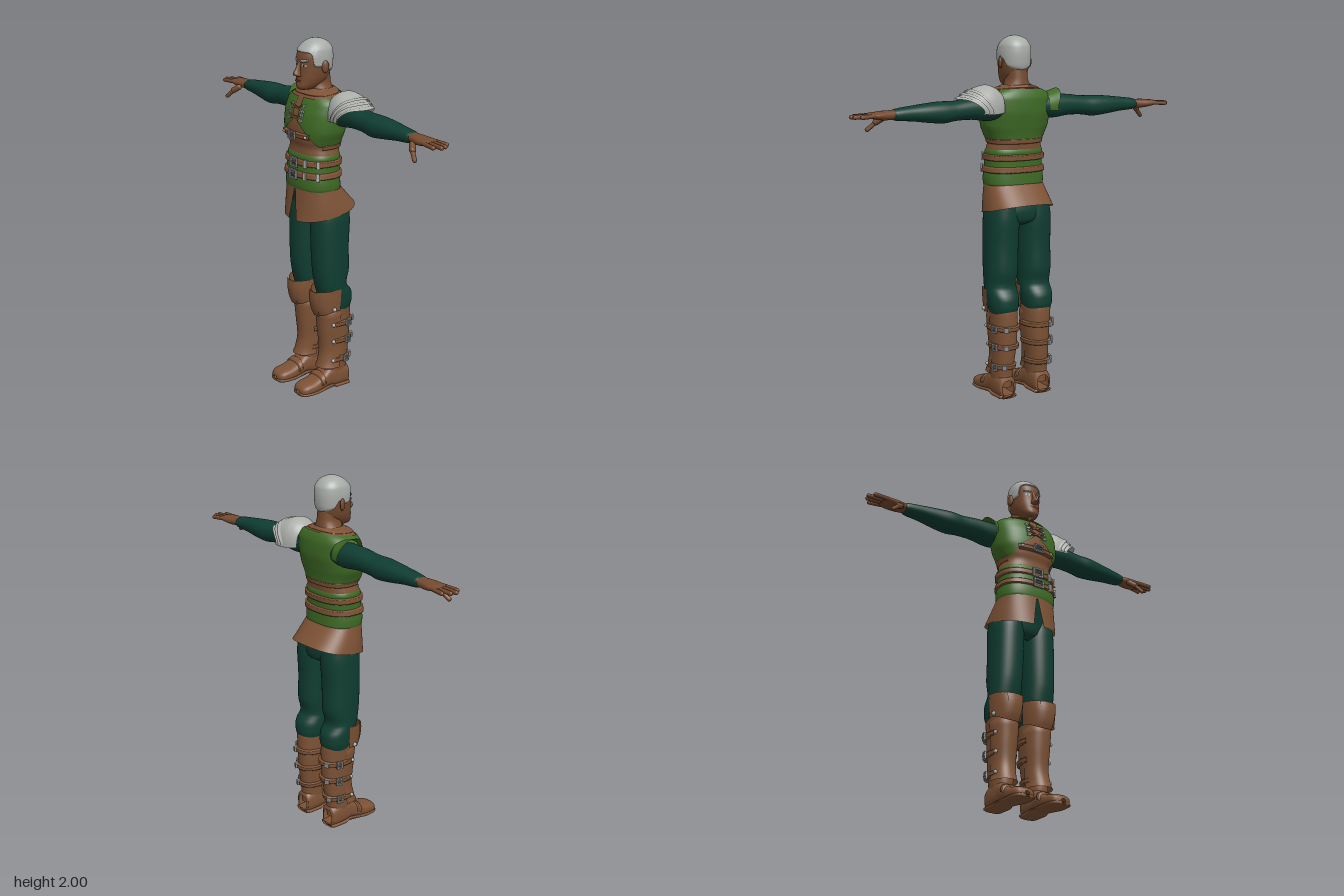
import * as THREE from 'three';
import { mergeGeometries } from 'three/addons/utils/BufferGeometryUtils.js';

const PI = Math.PI;
const mat = (name, color) => new THREE.MeshStandardMaterial({ name, color, side: THREE.DoubleSide });

// Smooth monotone interpolation of column c of a row table at height y
function value(rows, y, c) {
  const n = rows.length, g = (k) => rows[k][c] ?? 0;
  y = Math.min(Math.max(y, rows[0][0]), rows[n - 1][0]);
  let i = 0;
  while (i < n - 2 && y > rows[i + 1][0]) i++;
  const d = (k) => (g(k + 1) - g(k)) / (rows[k + 1][0] - rows[k][0]);
  const m = (k) => {
    if (k === 0) return d(0);
    if (k === n - 1) return d(n - 2);
    const a = d(k - 1), b = d(k);
    return a * b > 0 ? 2 * a * b / (a + b) : 0;
  };
  const h = rows[i + 1][0] - rows[i][0], t = (y - rows[i][0]) / h, t2 = t * t, t3 = t2 * t;
  return (2 * t3 - 3 * t2 + 1) * g(i) + (t3 - 2 * t2 + t) * h * m(i) + (3 * t2 - 2 * t3) * g(i + 1) + (t3 - t2) * h * m(i + 1);
}

// Point on a body whose rows are [y, halfWidth, zFront, zBack, centreX]; angle 0 is the front
function pointOn(rows, a, y, off = 0, p = 0.9) {
  const rx = value(rows, y, 1) + off, zf = value(rows, y, 2) + off, zb = value(rows, y, 3) - off;
  const s = Math.sin(a), c = Math.cos(a), pw = (v) => Math.sign(v) * Math.abs(v) ** p;
  return new THREE.Vector3(value(rows, y, 4) + rx * pw(s), y, (zf + zb) / 2 + (zf - zb) / 2 * pw(c));
}

// Surface over a body: whole by default, or limited by angles and lower / upper edges
function shell(rows, o = {}) {
  const fn = (f) => (typeof f === 'function' ? f : () => f);
  const whole = o.lo === undefined, wrap = o.u0 === undefined, nu = o.nu ?? 40;
  const ys = [];
  if (whole) rows.forEach((r, i) => { for (let k = 0; k < (i < rows.length - 1 ? 3 : 1); k++) ys.push(r[0] + (k ? (rows[i + 1][0] - r[0]) * k / 3 : 0)); });
  const nv = whole ? ys.length - 1 : o.nv ?? 10, cols = wrap ? nu : nu + 1;
  const off = fn(o.off ?? 0), lo = fn(o.lo), hi = fn(o.hi), u0 = fn(o.u0 ?? 0), u1 = fn(o.u1 ?? 2 * PI);
  const pos = [], idx = [];
  for (let j = 0; j <= nv; j++) for (let i = 0; i < cols; i++) {
    const v = j / nv, a = u0(v) + (u1(v) - u0(v)) * i / nu;
    const y = whole ? ys[j] : lo(a) + (hi(a) - lo(a)) * v;
    pos.push(...pointOn(rows, a, y, off(v), o.p).toArray());
    if (j < nv && i < nu) {
      const q = j * cols + i, r = j * cols + (i + 1) % cols;
      idx.push(q, r, q + cols, r, r + cols, q + cols);
    }
  }
  const geo = new THREE.BufferGeometry();
  geo.setAttribute('position', new THREE.Float32BufferAttribute(pos, 3));
  geo.setIndex(idx);
  geo.computeVertexNormals();
  return geo;
}
const alongX = (g) => g.rotateZ(-PI / 2), alongZ = (g) => g.rotateX(PI / 2);
const strapOff = (h) => (v) => (v < 0.01 || v > 0.99 ? 0 : h);
const strap = (rows, y, w, h, o = {}) => shell(rows, { lo: y - w / 2, hi: y + w / 2, off: strapOff(h), nv: 8, ...o });

// Seat a small part on a body, facing outwards
function place(geo, rows, a, y, off, p) {
  const q = pointOn(rows, a, y, off, p), t = pointOn(rows, a + 0.02, y, off, p).sub(pointOn(rows, a - 0.02, y, off, p));
  return geo.rotateY(Math.atan2(-t.z, t.x)).translate(q.x, q.y, q.z);
}
function buckle(w, h, b = 0.008) {
  const box = (o, x, y) => o.moveTo(-x, -y).lineTo(x, -y).lineTo(x, y).lineTo(-x, y).closePath();
  const s = box(new THREE.Shape(), w / 2, h / 2);
  s.holes.push(box(new THREE.Path(), w / 2 - b, h / 2 - b));
  return mergeGeometries([new THREE.ExtrudeGeometry(s, { depth: 0.012, bevelEnabled: false }),
    new THREE.BoxGeometry(w, 0.006, 0.008).toNonIndexed().translate(0, 0, 0.01)]);
}
function rod(a, b, r) {
  const A = new THREE.Vector3(...a), d = new THREE.Vector3(...b).sub(A);
  const q = new THREE.Quaternion().setFromUnitVectors(new THREE.Vector3(0, 1, 0), d.clone().normalize());
  const m = A.clone().addScaledVector(d, 0.5);
  return new THREE.CapsuleGeometry(r, d.length() - 2 * r, 4, 10).applyQuaternion(q).translate(m.x, m.y, m.z);
}
function mirrored(geo) {
  const g = geo.clone().scale(-1, 1, 1);
  const ix = g.index ? [...g.index.array] : [...Array(g.attributes.position.count).keys()];
  for (let i = 0; i < ix.length; i += 3) [ix[i], ix[i + 1]] = [ix[i + 1], ix[i]];
  g.setIndex(ix);
  const n = g.attributes.normal, o = geo.attributes.normal;
  for (let i = 0; i < n.count; i++) n.setXYZ(i, -o.getX(i), o.getY(i), o.getZ(i));
  return g;
}

export function createModel() {
  const model = new THREE.Group();
  const leather = mat('leather', 0x7d5235), skin = mat('skin', 0x754a2f), green = mat('green tunic', 0x3e6a25);
  const cloth = mat('dark cloth', 0x0f3d31), hair = mat('grey hair', 0xa8aca7), steel = mat('steel', 0xacaeaa);
  const iron = mat('buckle metal', 0x858988), lip = mat('lips', 0x5c3523), dark = mat('pupil', 0x17120f);
  const add = (name, geo, m) => { const o = new THREE.Mesh(geo, m); o.name = name; model.add(o); };
  const pair = (name, geo, m) => { add(name + 'Left', geo, m); add(name + 'Right', mirrored(geo), m); };

  // Torso and layered tunic
  const torso = [[1.18, .163, .132, -.1], [1.22, .165, .135, -.098], [1.3, .157, .128, -.095], [1.38, .157, .122, -.1], [1.42, .148, .12, -.105],
    [1.46, .162, .13, -.11], [1.52, .185, .134, -.122], [1.6, .19, .125, -.135], [1.66, .188, .102, -.133], [1.69, .168, .088, -.125],
    [1.71, .13, .075, -.115], [1.725, .095, .06, -.1], [1.735, .078, .05, -.092]];
  const P = 0.82, fold = (a) => Math.min(Math.abs(a), 2 * PI - Math.abs(a));
  add('leatherJerkin', shell(torso, { p: P, nu: 56 }), leather);
  add('vest', shell(torso, { p: P, nu: 80, nv: 28, off: 0.007, u0: 0.07, u1: 2 * PI - 0.07,
    lo: (a) => (fold(a) < PI / 2 ? 1.575 - 0.14 * Math.min(1, Math.sin(fold(a)) / 0.87) : 1.435),
    hi: (a) => 1.703 - 0.012 * Math.cos(a) }), green);
  add('lowerTunic', shell(torso, { p: P, nu: 56, lo: 1.18, hi: 1.385, off: strapOff(0.006), nv: 20 }), green);
  add('collar', shell(torso, { p: P, lo: (a) => 1.71 - 0.008 * Math.cos(a), hi: (a) => 1.727 - 0.008 * Math.cos(a), off: strapOff(0.008), nv: 6 }), leather);
  add('ribBand', strap(torso, 1.43, 0.03, 0.008, { p: P, u0: 1.2, u1: 2 * PI - 1.2 }), leather);

  // Belts with buckles and tips
  for (const y of [1.34, 1.273]) {
    add('waistBelt', strap(torso, y, 0.038, 0.016, { p: P, nu: 56 }), leather);
    add('beltBuckle', place(buckle(0.066, 0.054, 0.01), torso, 0.001, y, 0.018, P), iron);
    for (const a of [0.45, 1.0]) add('beltTip', place(new THREE.BoxGeometry(0.018, 0.044, 0.012), torso, a, y, 0.018, P), steel);
  }
  add('chestStrap', strap(torso, 1.49, 0.03, 0.018, { p: P, u0: -0.6, u1: 0.6 }), leather);
  add('chestBuckle', place(buckle(0.06, 0.046), torso, 0.001, 1.49, 0.02, P), iron);
  for (const a of [-0.45, 0.45]) add('strapStud', place(new THREE.SphereGeometry(0.009, 10, 8), torso, a, 1.49, 0.018, P), steel);

  // Chest lacing
  for (const y of [1.637, 1.588]) for (const s of [-1, 1]) {
    add('lace', place(new THREE.BoxGeometry(0.1, 0.008, 0.008).rotateZ(s * 0.28), torso, 0.001, y, 0.012, P), leather);
    for (const dy of [-0.014, 0.014]) add('laceClasp', place(new THREE.BoxGeometry(0.022, 0.012, 0.01), torso, s * 0.2, y + dy, 0.011, P), steel);
  }

  // Flared skirt with front slit
  const skirt = [[1.0, .2, .158, -.29], [1.09, .187, .148, -.2], [1.2, .166, .138, -.1]];
  add('skirt', shell(skirt, { p: 0.85, nu: 60, nv: 12, lo: (a) => 1.05 - 0.04 * Math.cos(a), hi: 1.2,
    u0: (v) => 0.12 * (1 - v), u1: (v) => 2 * PI - 0.12 * (1 - v) }), leather);

  // Trousers
  const hips = [[.97, .05, .03, -.09], [1.0, .13, .075, -.135], [1.06, .172, .088, -.14], [1.2, .158, .12, -.095]];
  add('trouserSeat', shell(hips), cloth);
  const leg = [[.47, .07, .02, -.135, .108], [.52, .082, .035, -.152, .108], [.57, .086, .05, -.15, .108], [.63, .087, .065, -.112, .107],
    [.72, .09, .08, -.132, .106], [.85, .092, .086, -.13, .103], [1.0, .093, .088, -.14, .1], [1.09, .085, .08, -.135, .095]];
  pair('trouserLeg', shell(leg), cloth);

  // Boots
  const calf = [[.06, .05, .03, -.118, .113], [.14, .056, .035, -.122, .112], [.22, .06, .028, -.135, .108], [.34, .069, .04, -.145, .104],
    [.44, .073, .045, -.148, .105], [.5, .076, .045, -.146, .107], [.505, .06, .03, -.13, .107]];
  const guard = [[.135, .073, .066, -.13, .112], [.16, .068, .055, -.13, .111], [.24, .066, .04, -.13, .106], [.36, .074, .05, -.135, .105], [.48, .08, .06, -.14, .107]];
  const cuff = [[.45, .08, .066, -.14, .107], [.5, .085, .086, -.145, .107], [.56, .089, .094, -.15, .107], [.62, .092, .088, -.15, .108]];
  const foot = [[-.127, .035, -.01, -.1, .113], [-.12, .05, 0, -.12, .113], [-.06, .056, 0, -.14, .113], [-.02, .056, -.004, -.14, .113], [.01, .056, -.014, -.132, .113],
    [.06, .06, -.008, -.098, .113], [.12, .064, 0, -.074, .113], [.17, .06, 0, -.064, .113], [.196, .044, -.004, -.05, .113], [.205, .012, -.014, -.034, .113]];
  const sole = [[-.13, .04, 0, -.02, .113], [-.12, .056, 0, -.022, .113], [-.03, .058, 0, -.024, .113], [-.01, .058, -.012, -.026, .113], [.05, .062, -.006, -.024, .113],
    [.12, .068, 0, -.022, .113], [.17, .064, 0, -.022, .113], [.2, .046, 0, -.02, .113], [.208, .012, -.004, -.016, .113]];
  pair('bootShaft', shell(calf), leather);
  pair('shinGuard', shell(guard, { lo: 0.135, hi: 0.48, u0: -1.6, u1: 1.6, nv: 16, off: (v) => (v > 0.99 ? -0.01 : 0) }), leather);
  pair('kneeCuff', shell(cuff, { lo: (a) => 0.458 + 0.03 * Math.abs(Math.sin(a)) ** 3, hi: (a) => 0.6 + 0.016 * Math.abs(Math.sin(a)), u0: -1.6, u1: 1.6 }), leather);
  pair('kneePanel', shell(cuff, { lo: 0.455, hi: 0.604, u0: (v) => -0.32 - 0.2 * v, u1: (v) => 0.32 + 0.2 * v, off: 0.007, nu: 12 }), leather);
  pair('cuffStud', place(new THREE.SphereGeometry(0.012, 10, 8), cuff, 1.3, 0.5, 0.004), steel);
  pair('foot', alongZ(shell(foot, { p: 0.75 })), leather);
  pair('sole', alongZ(shell(sole, { p: 0.6 })), leather);
  pair('instepStrap', alongZ(strap(foot, 0.065, 0.03, 0.007, { p: 0.75, u0: PI / 2, u1: 1.5 * PI })), leather);
  for (const y of [0.4, 0.295, 0.18]) {
    pair('bootStrap', strap(calf, y, 0.03, 0.013, { u0: 1.2, u1: 2 * PI - 1.2 }), leather);
    pair('bootStud', place(new THREE.SphereGeometry(0.011, 10, 8), guard, 1.15, y, 0.004), steel);
    pair('bootBuckle', place(buckle(0.036, 0.042), calf, 1.95, y, 0.01), iron);
    pair('bootStrapTip', place(new THREE.BoxGeometry(0.026, 0.026, 0.014), calf, 2.75, y, 0.015), iron);
  }

  // Arms and hands, built along x
  const arm = [[.12, .055, .02, -.12, -1.615], [.2, .066, .022, -.125, -1.612], [.3, .058, .018, -.12, -1.615], [.4, .053, .015, -.118, -1.608],
    [.47, .058, .02, -.122, -1.603], [.55, .052, .01, -.118, -1.604], [.65, .04, -.004, -.106, -1.605], [.74, .031, -.016, -.098, -1.603], [.757, .024, -.024, -.09, -1.603]];
  const palm = [[.735, .024, -.026, -.09, -1.605], [.8, .025, -.014, -.1, -1.602], [.85, .02, -.008, -.108, -1.603], [.885, .014, -.01, -.107, -1.605], [.9, .004, -.03, -.09, -1.605]];
  pair('sleeve', alongX(shell(arm)), cloth);
  pair('palm', alongX(shell(palm)), skin);
  [[-.02, -.012, .965], [-.046, -.044, .99], [-.071, -.074, .982], [-.096, -.108, .955]].forEach(([z0, z1, x]) =>
    pair('finger', rod([.86, 1.605, z0], [x, 1.6, z1], 0.0115), skin));
  pair('thumb', rod([.785, 1.593, -.022], [.835, 1.555, .015], 0.017), skin);
  pair('thumbTip', rod([.82, 1.565, .006], [.872, 1.517, .03], 0.012), skin);

  // Cloth cap on the right shoulder, layered plates on the left
  const cap = [[.15, .075, .03, -.13, -1.61], [.19, .085, .034, -.134, -1.61], [.24, .1, .036, -.136, -1.61]];
  const rise = (a) => Math.abs(Math.sin(a));
  add('shoulderCap', mirrored(alongX(shell(cap, { lo: 0.15, hi: (a) => 0.2 + 0.038 * rise(a), u0: -PI - 0.2, u1: 0.2 }))), green);
  const plate = [[.135, .09, .02, -.125, -1.605], [.17, .115, .04, -.145, -1.605], [.21, .127, .05, -.158, -1.605], [.26, .117, .055, -.162, -1.605],
    [.32, .092, .05, -.155, -1.605], [.4, .05, .04, -.145, -1.605]];
  for (let k = 0; k < 3; k++) add('shoulderPlate', alongX(shell(plate, { u0: -PI - 0.1, u1: 0.1, nv: 20, lo: 0.135 + 0.02 * k,
    off: (v) => 0.008 - 0.004 * k + (v > 0.88 ? 0.006 : 0), hi: (a) => 0.225 + 0.024 * k + (0.095 + 0.008 * k) * rise(a) })), steel);

  // Neck and head
  const neck = [[1.69, .1, .05, -.1], [1.735, .07, .047, -.09], [1.77, .058, .05, -.085], [1.83, .056, .05, -.08]];
  add('neck', shell(neck), skin);
  const head = [[1.727, .012, .095, .04], [1.733, .034, .11, .015], [1.75, .05, .118, -.02], [1.775, .064, .114, -.055], [1.8, .072, .112, -.072], [1.85, .079, .108, -.087],
    [1.9, .081, .108, -.09], [1.94, .077, .095, -.086], [1.97, .061, .068, -.068], [1.985, .044, .046, -.048], [1.994, .026, .026, -.026], [2, .001, .002, -.002]];
  add('head', shell(head.slice(0, 9)), skin);
  const hairEdge = (a) => {
    const f = fold(a), k = [[0, 1.932], [.65, 1.93], [.95, 1.915], [1.1, 1.86], [1.5, 1.855], [1.75, 1.875], [2.1, 1.835], [PI, 1.81]];
    return value(k, f, 1);
  };
  add('hair', shell(head, { lo: hairEdge, hi: 2, nu: 64, nv: 26, off: (v) => (v === 0 || v === 1 ? 0 : 0.006) }), hair);
  const nose = [[1.8, .008, .112, .09], [1.807, .02, .134, .09], [1.818, .017, .146, .09], [1.84, .011, .133, .09], [1.882, .01, .11, .09]];
  add('nose', shell(nose, { nu: 20 }), skin);
  add('mouth', shell(head, { u0: -0.32, u1: 0.32, lo: 1.774, hi: 1.786, nv: 4, off: (v) => (v === 0.5 ? 0.003 : 0.006) }), lip);
  pair('ear', new THREE.SphereGeometry(1, 16, 12).scale(0.01, 0.034, 0.02).rotateY(-0.35).translate(0.089, 1.855, 0.0), skin);
  pair('brow', shell(head, { u0: 0.18, u1: 0.72, nu: 10, nv: 3, off: strapOff(0.007), lo: (a) => 1.876 + 0.012 * a, hi: (a) => 1.889 + 0.012 * a }), hair);
  pair('eye', shell(head, { u0: 0.27, u1: 0.6, nu: 8, nv: 2, off: 0.002, lo: 1.858, hi: 1.869 }), hair);
  pair('pupil', shell(head, { u0: 0.38, u1: 0.49, nu: 4, nv: 2, off: 0.004, lo: 1.858, hi: 1.869 }), dark);

  return model;
}
